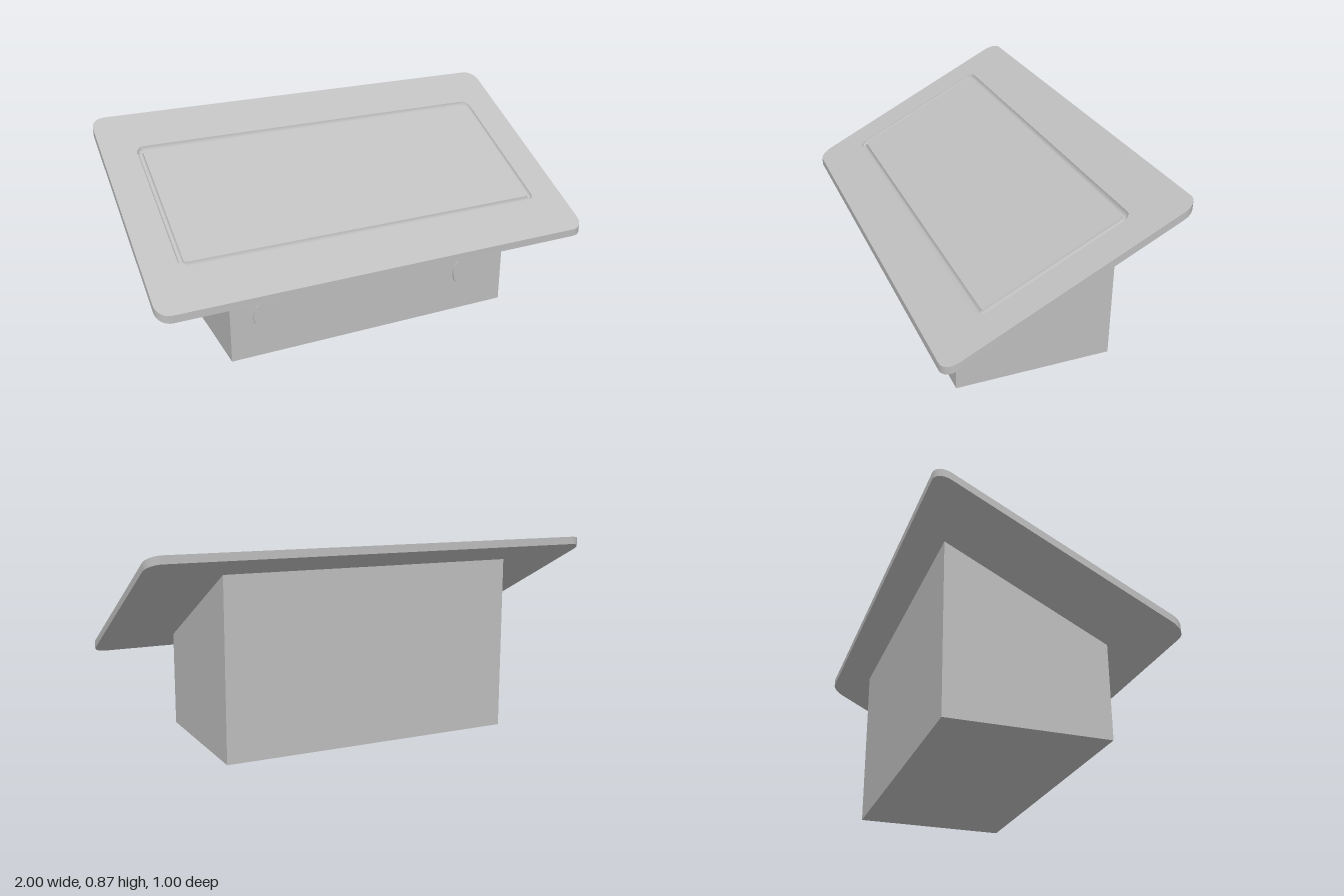
import * as THREE from 'three';
import { toCreasedNormals } from 'three/addons/utils/BufferGeometryUtils.js';

const SLOPE = 0.5;          // rise of the top toward the back
const TOP = 0.62;           // height of the top surface at z = 0
const THICK = 0.033;
const CORNER_STEPS = 8;

// Rounded rectangle loop in the xz plane, sheared onto the slope at depth y
function loop(hx, hz, r, y) {
  const pts = [];
  for (let q = 0; q < 4; q++) {
    const sx = q === 0 || q === 3 ? 1 : -1;
    const sz = q < 2 ? 1 : -1;
    for (let k = 0; k <= CORNER_STEPS; k++) {
      const a = (q + k / CORNER_STEPS) * Math.PI / 2;
      const x = sx * (hx - r) + r * Math.cos(a);
      const z = sz * (hz - r) + r * Math.sin(a);
      pts.push([x, TOP + y - SLOPE * z, z]);
    }
  }
  return pts;
}

// Skin a sequence of matching loops
function loft(loops) {
  const n = loops[0].length;
  const pos = [];
  for (let i = 0; i < loops.length - 1; i++) {
    for (let j = 0; j < n; j++) {
      const k = (j + 1) % n;
      const a = loops[i][j], b = loops[i + 1][j], c = loops[i + 1][k], d = loops[i][k];
      pos.push(...a, ...b, ...c, ...a, ...c, ...d);
    }
  }
  const g = new THREE.BufferGeometry();
  g.setAttribute('position', new THREE.Float32BufferAttribute(pos, 3));
  return toCreasedNormals(g, 0.55);
}

export function createModel() {
  const group = new THREE.Group();
  const grey = new THREE.MeshStandardMaterial({ color: 0xbfbfbf });
  grey.name = 'grey';

  const add = (name, geometry) => {
    const mesh = new THREE.Mesh(geometry, grey);
    mesh.name = name;
    group.add(mesh);
    return mesh;
  };

  // Sloping top plate with a round-bottomed groove around the centre panel
  const loops = [
    loop(0, 0, 0, -THICK),
    loop(1, 0.5, 0.06, -THICK),
    loop(1, 0.5, 0.06, 0),
  ];
  const steps = 8, half = 0.012, depth = 0.015;
  for (let i = 0; i <= steps; i++) {
    const a = Math.PI * i / steps;
    const off = half * Math.cos(a);
    loops.push(loop(0.838 + off, 0.299 + off, 0.025 + off, -depth * Math.sin(a)));
  }
  loops.push(loop(0, 0, 0, 0));
  add('topPlate', loft(loops));

  // Block base, its top cut to the slope of the plate
  const base = new THREE.BoxGeometry(1.33, 1, 0.7);
  base.translate(0, 0.5, -0.015);
  const p = base.attributes.position;
  for (let i = 0; i < p.count; i++) {
    if (p.getY(i) > 0.5) p.setY(i, TOP - THICK + 0.003 - SLOPE * p.getZ(i));
  }
  add('base', toCreasedNormals(base, 0.3));

  // Thin round buttons on the front of the base
  for (const side of [-1, 1]) {
    const disc = new THREE.CylinderGeometry(0.08, 0.08, 0.012, 48);
    disc.rotateX(Math.PI / 2);
    const button = add(side > 0 ? 'leftButton' : 'rightButton', disc);
    button.position.set(side * 0.483, 0.188, 0.337);
  }

  return group;
}
